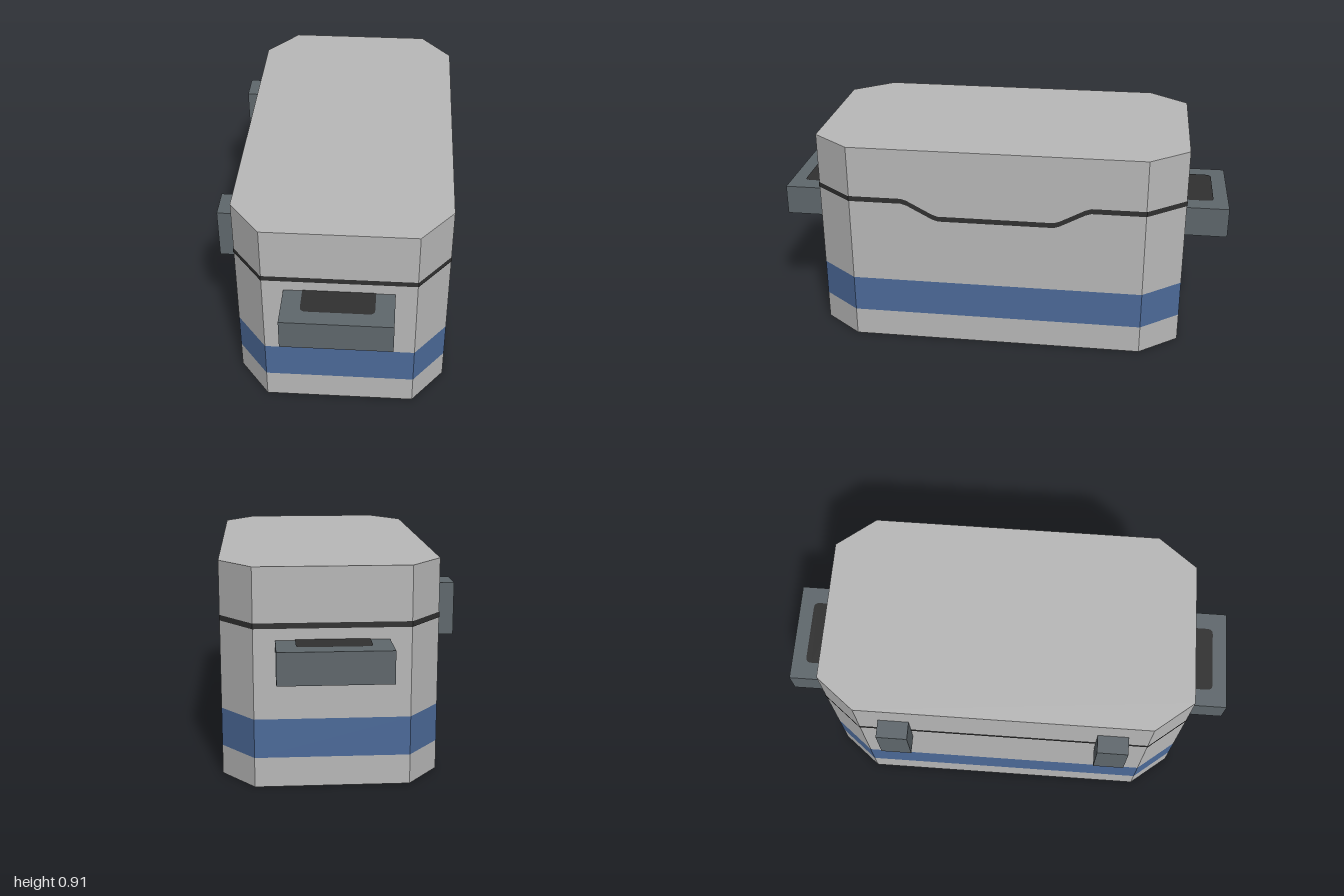
import * as THREE from 'three';

const material = (name, color) => {
  const m = new THREE.MeshStandardMaterial({ color });
  m.name = name;
  return m;
};

const CX = 0.0375; // centre of the case body in x
const HEIGHT = 0.91;

// Chamfered footprint, counterclockwise from above: [x, z]
const ring = [
  [-0.28, 0.81], [0.355, 0.81], [0.49, 0.64], [0.49, -0.64],
  [0.355, -0.81], [-0.28, -0.81], [-0.415, -0.64], [-0.415, 0.64],
];

// Closed upright band along a loop of [x, z, yOffset] points
function wall(loop, y0, y1) {
  const pos = [];
  loop.forEach(([ax, az, ay = 0], i) => {
    const [bx, bz, by = 0] = loop[(i + 1) % loop.length];
    pos.push(ax, ay + y0, az, bx, by + y0, bz, bx, by + y1, bz);
    pos.push(ax, ay + y0, az, bx, by + y1, bz, ax, ay + y1, az);
  });
  const g = new THREE.BufferGeometry();
  g.setAttribute('position', new THREE.Float32BufferAttribute(pos, 3));
  g.computeVertexNormals();
  return g;
}

export function createModel() {
  const shell = material('shell grey', 0xb8b8b8);
  const stripe = material('stripe blue', 0x4c6a99);
  const hardware = material('hardware slate', 0x5f676c);
  const dark = material('dark charcoal', 0x303030);

  const model = new THREE.Group();
  model.name = 'storageCase';
  const add = (parent, name, geometry, mat) => {
    const mesh = new THREE.Mesh(geometry, mat);
    mesh.name = name;
    parent.add(mesh);
    return mesh;
  };

  // Body walls with the blue band between them
  add(model, 'lowerWall', wall(ring, 0, 0.125), shell);
  add(model, 'blueBand', wall(ring, 0.125, 0.288), stripe);
  add(model, 'upperWall', wall(ring, 0.288, HEIGHT), shell);

  // Lid top and base
  const footprint = new THREE.Shape(ring.map(([x, z]) => new THREE.Vector2(x, -z)));
  add(model, 'lidTop', new THREE.ShapeGeometry(footprint).rotateX(-Math.PI / 2), shell)
    .position.y = HEIGHT;
  const base = new THREE.Shape(ring.map(([x, z]) => new THREE.Vector2(x, z)).reverse());
  add(model, 'base', new THREE.ShapeGeometry(base).rotateX(Math.PI / 2), shell);

  // Lid seam, dipping along the left side and just proud of the shell
  const dip = [
    [0.41, 0], [0.385, -0.008], [0.275, -0.067], [0.25, -0.075],
    [-0.25, -0.075], [-0.275, -0.067], [-0.385, -0.008], [-0.41, 0],
  ].map(([z, y]) => [0.49, z, y]);
  const seamLoop = [...ring.slice(0, 3), ...dip, ...ring.slice(3)]
    .map(([x, z, y = 0]) => [CX + (x - CX) * 1.004, z * (Math.abs(z) > 0.6 ? 1.003 : 1), y]);
  add(model, 'lidSeam', wall(seamLoop, 0.662, 0.685), dark);

  // End handles: block with dark underside and a dark rounded grip on top
  const w = 0.15, d = 0.125, r = 0.025;
  const grip = new THREE.Shape();
  grip.moveTo(-w, 0);
  grip.lineTo(-w, -d + r);
  grip.quadraticCurveTo(-w, -d, -w + r, -d);
  grip.lineTo(w - r, -d);
  grip.quadraticCurveTo(w, -d, w, -d + r);
  grip.lineTo(w, 0);
  const gripGeometry = new THREE.ShapeGeometry(grip, 4).rotateX(-Math.PI / 2);
  const blockMaterials = [hardware, hardware, hardware, dark, hardware, hardware];

  for (const [name, turn] of [['frontHandle', 0], ['backHandle', Math.PI]]) {
    const handle = new THREE.Group();
    handle.name = name;
    handle.position.x = CX;
    handle.rotation.y = turn;
    add(handle, 'handleBlock', new THREE.BoxGeometry(0.457, 0.133, 0.19), blockMaterials)
      .position.set(0, 0.5475, 0.905);
    add(handle, 'handleGrip', gripGeometry, dark).position.set(0, 0.617, 0.81);
    model.add(handle);
  }

  // Two latches on the right side
  for (const side of [1, -1]) {
    add(model, side > 0 ? 'frontLatch' : 'backLatch',
      new THREE.BoxGeometry(0.078, 0.223, 0.135), hardware)
      .position.set(-0.454, 0.677, side * 0.478);
  }

  return model;
}
